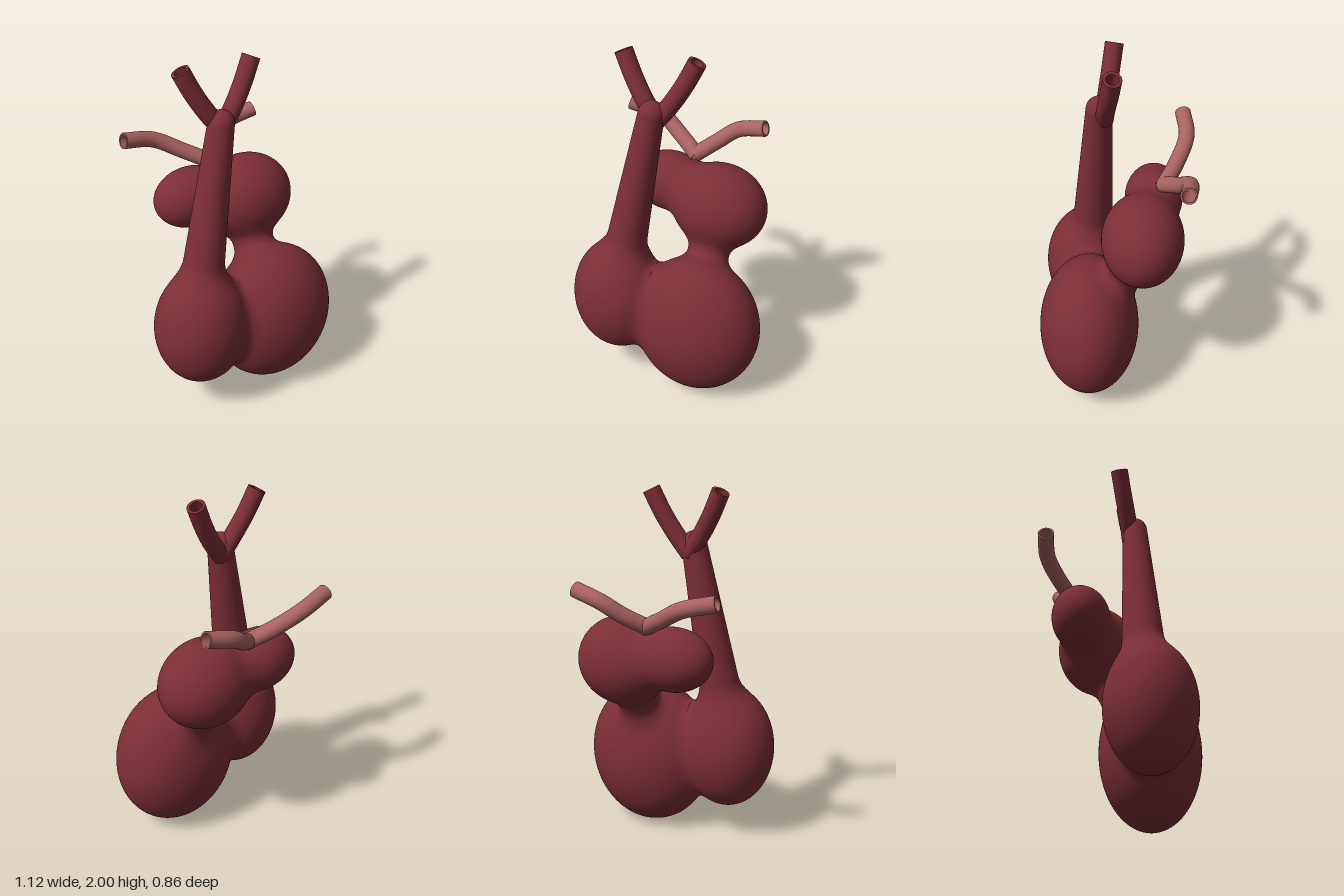
import * as THREE from 'three';

const V = (x, y, z) => new THREE.Vector3(x, y, z);

// Ellipsoid chambers: centre and radii
const chambers = {
  rightVentricle: { c: V(-0.29, 0.525, 0.175), r: V(0.27, 0.355, 0.248) },
  leftVentricle: { c: V(0.185, 0.43, 0.148), r: V(0.372, 0.43, 0.284) },
  leftAtrium: { c: V(0.19, 1.06, -0.15), r: V(0.275, 0.25, 0.224) },
  rightAtrium: { c: V(-0.13, 1.115, -0.21), r: V(0.225, 0.175, 0.162) },
};
// Tapered round-ended passages: ends and end radii
const passages = {
  outflowTrunk: { a: V(-0.285, 0.7, 0.15), b: V(-0.108, 1.69, 0.09), ra: 0.125, rb: 0.07 },
  valveNeck: { a: V(0.175, 0.6, 0.06), b: V(0.175, 1.02, -0.15), ra: 0.11, rb: 0.11 },
};

// Distance rules for the two kinds of part
const q = V(0, 0, 0);
function ellipsoidDistance(p, { c, r }) {
  q.copy(p).sub(c).divide(r);
  const k0 = q.length();
  const k1 = q.divide(r).length();
  return k1 < 1e-6 ? -Math.min(r.x, r.y, r.z) : (k0 * (k0 - 1)) / k1;
}
const ab = V(0, 0, 0);
function passageDistance(p, { a, b, ra, rb }) {
  ab.copy(b).sub(a);
  q.copy(p).sub(a);
  const t = THREE.MathUtils.clamp(q.dot(ab) / ab.lengthSq(), 0, 1);
  return q.addScaledVector(ab, -t).length() - THREE.MathUtils.lerp(ra, rb, t);
}

// Smooth union of all chambers and passages, giving soft fillets
const BLEND = 0.075;
function blend(a, b) {
  const h = Math.max(BLEND - Math.abs(a - b), 0) / BLEND;
  return Math.min(a, b) - (h * h * BLEND) / 4;
}
function field(p) {
  let d = 10;
  for (const c of Object.values(chambers)) d = blend(d, ellipsoidDistance(p, c));
  for (const c of Object.values(passages)) d = blend(d, passageDistance(p, c));
  return d;
}
function gradient(p, out) {
  const e = 0.001;
  const s = p.clone();
  for (const k of ['x', 'y', 'z']) {
    s[k] = p[k] + e;
    const hi = field(s);
    s[k] = p[k] - e;
    out[k] = (hi - field(s)) / (2 * e);
    s[k] = p[k];
  }
  return out;
}

// Pull a part's vertices onto the blended surface; buried ones stay put
function melt(geometry) {
  const pos = geometry.attributes.position;
  const nor = geometry.attributes.normal;
  const p = V(0, 0, 0);
  const g = V(0, 0, 0);
  for (let i = 0; i < pos.count; i++) {
    p.fromBufferAttribute(pos, i);
    if (field(p) > -0.05) {
      for (let n = 0; n < 4; n++) {
        const f = field(p);
        gradient(p, g);
        p.addScaledVector(g, -f / Math.max(g.lengthSq(), 0.2));
      }
      pos.setXYZ(i, p.x, p.y, p.z);
    }
    gradient(p, g).normalize();
    nor.setXYZ(i, g.x, g.y, g.z);
  }
  return geometry;
}

function chamberGeometry({ c, r }) {
  return melt(new THREE.SphereGeometry(1, 96, 64).scale(r.x, r.y, r.z).translate(c.x, c.y, c.z));
}

function passageGeometry({ a, b, ra, rb }) {
  const axis = b.clone().sub(a);
  const len = axis.length();
  const profile = [];
  for (let i = 0; i <= 40; i++) {
    profile.push(new THREE.Vector2(THREE.MathUtils.lerp(ra, rb, i / 40), (len * i) / 40));
  }
  for (let i = 1; i <= 10; i++) {
    const t = (i / 10) * Math.PI / 2;
    profile.push(new THREE.Vector2(Math.max(rb * Math.cos(t), 0.0001), len + rb * Math.sin(t)));
  }
  const geometry = new THREE.LatheGeometry(profile, 48);
  geometry.applyQuaternion(new THREE.Quaternion().setFromUnitVectors(V(0, 1, 0), axis.normalize()));
  return melt(geometry.translate(a.x, a.y, a.z));
}

// Hollow vessel with an open end and a flat rim
function vessel(name, points, radius, bore, material) {
  const group = new THREE.Group();
  group.name = name;
  const path = new THREE.CatmullRomCurve3(points.map((p) => V(...p)));
  const add = (part, geometry) => {
    const mesh = new THREE.Mesh(geometry, material);
    mesh.name = part;
    group.add(mesh);
    return mesh;
  };
  add('vesselWall', new THREE.TubeGeometry(path, 40, radius, 32));
  add('vesselBore', new THREE.TubeGeometry(path, 40, bore, 32));
  const rim = add('vesselRim', new THREE.RingGeometry(bore, radius, 32));
  rim.position.copy(path.getPoint(1));
  rim.quaternion.setFromUnitVectors(V(0, 0, 1), path.getTangent(1));
  return group;
}

export function createModel() {
  const model = new THREE.Group();
  model.name = 'heart';
  const muscle = new THREE.MeshStandardMaterial({ color: 0x7c2e38, side: THREE.DoubleSide });
  muscle.name = 'dark red muscle';
  const vein = new THREE.MeshStandardMaterial({ color: 0xa86262, side: THREE.DoubleSide });
  vein.name = 'pale red vein';

  // Chambers and passages
  const addPart = (name, geometry) => {
    const mesh = new THREE.Mesh(geometry, muscle);
    mesh.name = name;
    model.add(mesh);
  };
  for (const [name, c] of Object.entries(chambers)) addPart(name, chamberGeometry(c));
  for (const [name, c] of Object.entries(passages)) addPart(name, passageGeometry(c));

  // Forked arteries on top of the trunk
  for (const [name, s] of [['leftArtery', 1], ['rightArtery', -1]]) {
    const x = -0.09;
    model.add(vessel(name, [
      [x - s * 0.005, 1.635, 0.062], [x + s * 0.07, 1.735, 0.052],
      [x + s * 0.14, 1.85, 0.033], [x + s * 0.203, 1.98, 0.014],
    ], 0.049, 0.033, muscle));
  }

  // Veins spreading from behind the atria
  model.add(vessel('leftVein', [
    [-0.01, 1.285, -0.255], [0.1, 1.358, -0.338], [0.2, 1.428, -0.385], [0.365, 1.477, -0.37],
  ], 0.044, 0.034, vein));
  model.add(vessel('rightVein', [
    [0.01, 1.285, -0.255], [-0.12, 1.352, -0.328], [-0.27, 1.432, -0.385], [-0.452, 1.477, -0.37],
  ], 0.044, 0.034, vein));

  return model;
}
